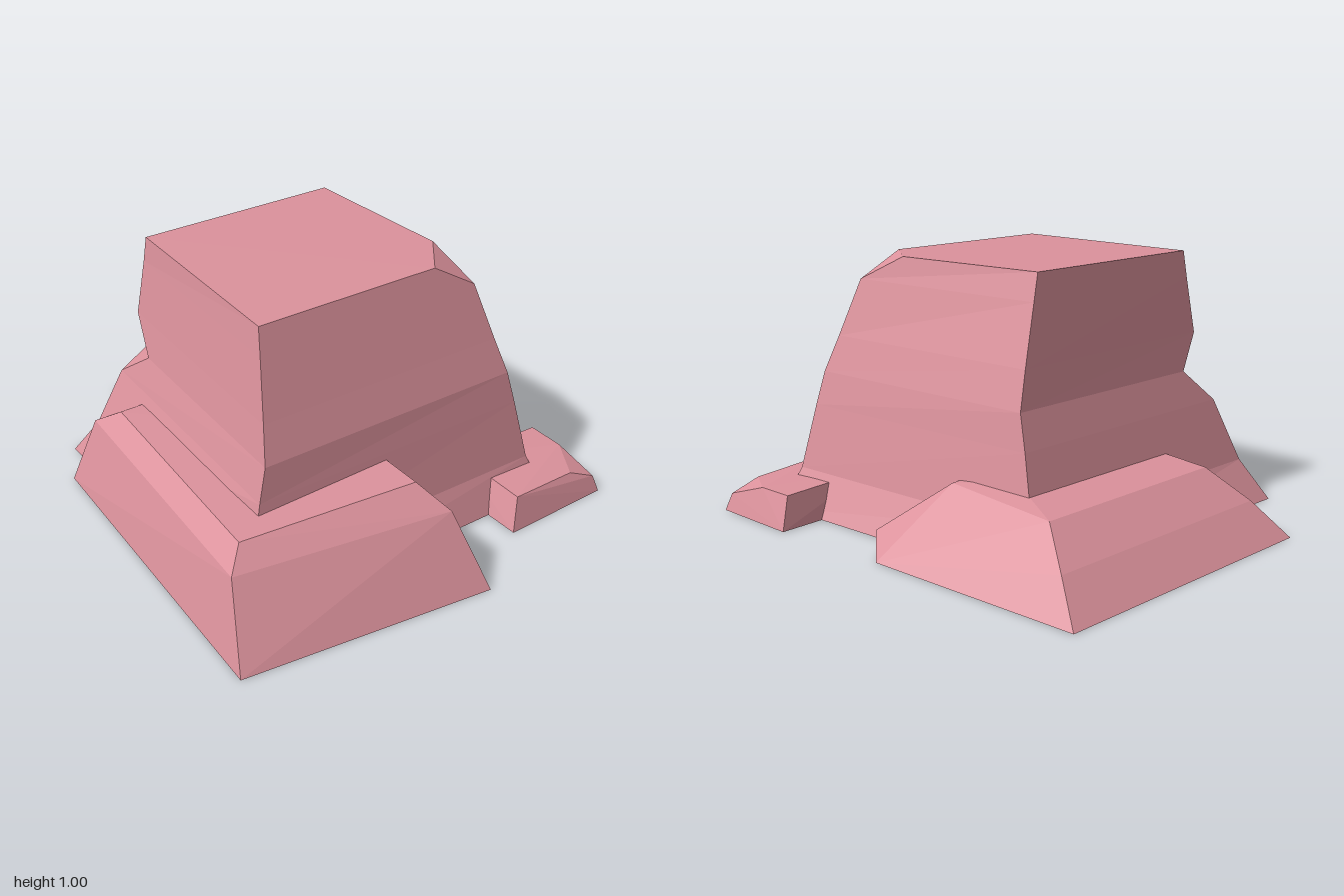
import * as THREE from 'three';
import { ConvexGeometry } from 'three/addons/geometries/ConvexGeometry.js';

// Skin between stacked rings of [x, z] corners, closed at both ends
function loft(rings) {
  const n = rings[0].pts.length;
  const pos = [];
  const put = (r, i) => pos.push(rings[r].pts[i % n][0], rings[r].y, rings[r].pts[i % n][1]);
  for (let r = 0; r < rings.length - 1; r++) {
    for (let i = 0; i < n; i++) {
      put(r, i); put(r, i + 1); put(r + 1, i + 1);
      put(r, i); put(r + 1, i + 1); put(r + 1, i);
    }
  }
  const top = rings.length - 1;
  for (let i = 1; i < n - 1; i++) {
    put(top, 0); put(top, i); put(top, i + 1);
    put(0, 0); put(0, i + 1); put(0, i);
  }
  const geo = new THREE.BufferGeometry();
  geo.setAttribute('position', new THREE.Float32BufferAttribute(pos, 3));
  geo.computeVertexNormals();
  return geo;
}

const hull = (pts) => new ConvexGeometry(pts.map((p) => new THREE.Vector3(...p)));

// Ring with single corners: front left, front right, back right, back left
const ring = (y, fl, fr, br, bl) => ({ y, pts: [fl, fl, fr, br, br, bl] });

export function createModel() {
  const group = new THREE.Group();
  const stone = new THREE.MeshStandardMaterial({ color: 0xdc929c, flatShading: true });
  stone.name = 'pink stone';

  const add = (name, geo) => {
    const mesh = new THREE.Mesh(geo, stone);
    mesh.name = name;
    group.add(mesh);
  };

  // Main boulder: flared foot, nick in the front corner, chipped top corner
  add('mainBoulder', loft([
    ring(0, [-0.68, 0.7], [0.66, 0.7], [0.66, -0.7], [-0.66, -0.66]),
    ring(0.16, [-0.58, 0.63], [0.6, 0.65], [0.61, -0.63], [-0.58, -0.59]),
    ring(0.41, [-0.51, 0.54], [0.565, 0.59], [0.57, -0.58], [-0.51, -0.55]),
    { y: 0.54, pts: [[-0.47, 0.39], [-0.33, 0.51], [0.55, 0.555], [0.55, -0.55], [0.55, -0.55], [-0.47, -0.53]] },
    ring(0.68, [-0.45, 0.48], [0.506, 0.53], [0.506, -0.51], [-0.455, -0.49]),
    ring(0.9, [-0.43, 0.45], [0.44, 0.495], [0.44, -0.45], [-0.43, -0.42]),
    { y: 1, pts: [[-0.42, 0.44], [-0.42, 0.44], [0.41, 0.48], [0.41, -0.28], [0.23, -0.42], [-0.42, -0.39]] },
  ]));

  // Ledge wrapping the front and one side
  add('frontLedge', hull([
    [-0.49, 0, 0.8], [0.87, 0, 0.875], [1, 0, -0.11], [0.4, 0, -0.11], [-0.49, 0, 0.6],
    [-0.41, 0.29, 0.72], [0.71, 0.29, 0.8], [0.85, 0.29, -0.035], [0.4, 0.29, -0.035], [-0.41, 0.29, 0.56],
    [-0.3, 0.365, 0.66], [0.65, 0.367, 0.73], [0.74, 0.385, 0.045], [0.4, 0.385, 0.045], [-0.3, 0.365, 0.5],
  ]));

  // Sloping slab on the other side and the back
  add('backSlab', hull([
    [-1, 0, 0.35], [-0.5, 0, 0.35], [-1, 0, -0.86], [-0.09, 0, -0.86], [0, 0, -0.74], [0, 0, -0.6],
    [0.02, 0.07, -0.76], [0.02, 0.07, -0.6],
    [-0.87, 0.13, 0.28], [-0.87, 0.13, -0.77],
    [-0.72, 0.245, 0.2], [-0.72, 0.245, -0.66], [-0.23, 0.265, -0.62],
    [-0.42, 0.285, 0.17], [-0.42, 0.285, -0.5], [-0.23, 0.27, -0.5],
  ]));

  // Small low stone at the back corner
  add('smallStone', hull([
    [0.41, 0, -0.88], [0.79, 0, -0.87], [0.8, 0, -0.405], [0.43, 0, -0.4],
    [0.435, 0.125, -0.835], [0.59, 0.125, -0.835], [0.77, 0.068, -0.85],
    [0.75, 0.115, -0.74], [0.765, 0.13, -0.445], [0.44, 0.14, -0.44],
  ]));

  return group;
}
